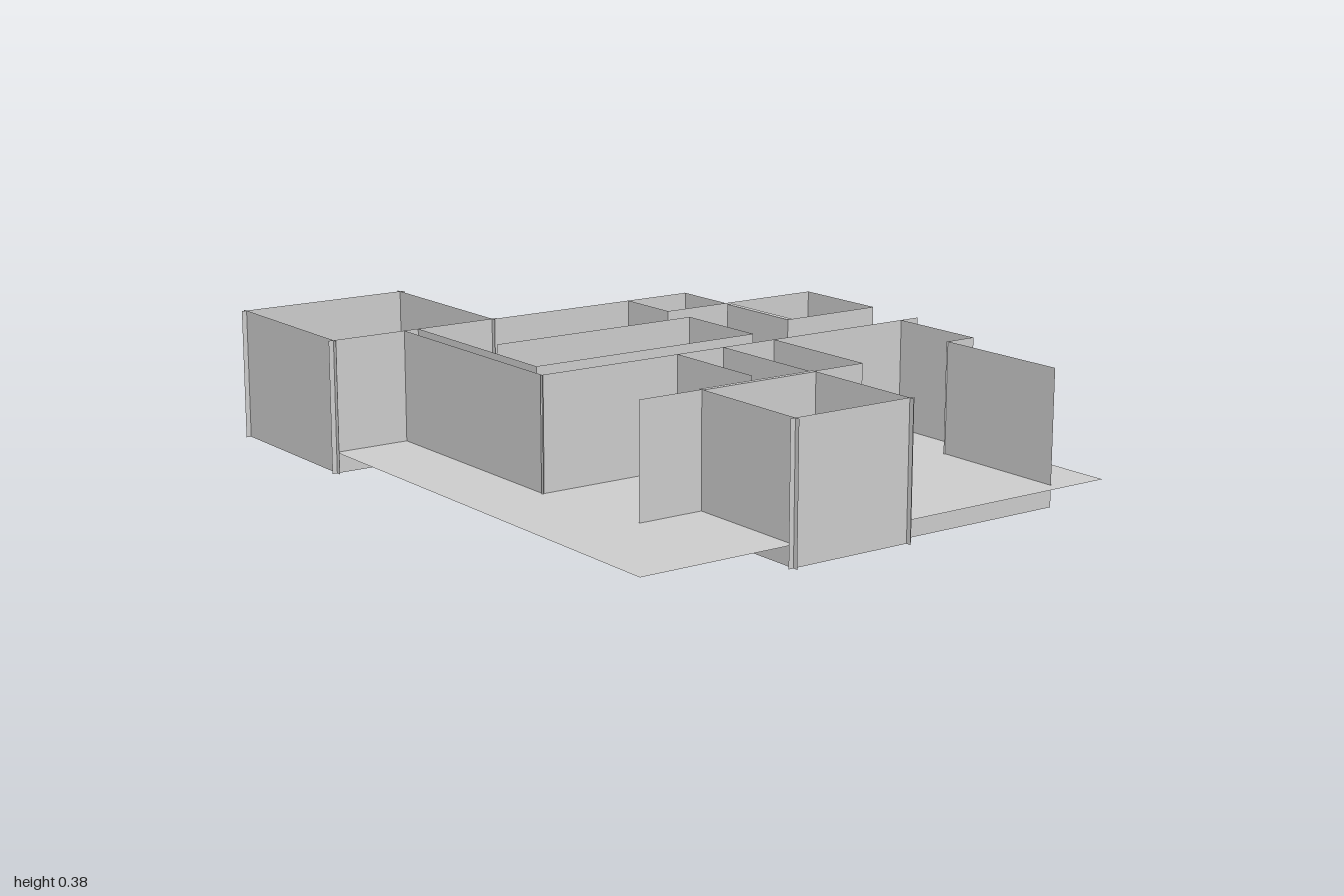
import * as THREE from 'three';

const WALL_TOP = 0.378;
const FLOOR_Y = 0.06;
const OVERLAP = 0.015; // walls run slightly past their corners

export function createModel() {
  const model = new THREE.Group();
  model.name = 'floorPlan';
  const material = new THREE.MeshStandardMaterial({ color: 0xcccccc, side: THREE.DoubleSide });

  const add = (name, geometry, x, y, z) => {
    const mesh = new THREE.Mesh(geometry, material);
    mesh.name = name;
    mesh.position.set(x, y, z);
    model.add(mesh);
    return mesh;
  };

  // Thin wall running along x at a fixed z
  const wallX = (name, z, x0, x1, height = WALL_TOP) =>
    add(name, new THREE.PlaneGeometry(x1 - x0, height), (x0 + x1) / 2, height / 2, z);

  // Thin wall running along z at a fixed x
  const wallZ = (name, x, z0, z1, height = WALL_TOP) =>
    add(name, new THREE.PlaneGeometry(z1 - z0, height).rotateY(Math.PI / 2), x, height / 2, (z0 + z1) / 2);

  // Rectangular room with corners that cross
  const room = (name, x0, x1, z0, z1) => {
    for (const z of [z0, z1]) wallX(name + 'Wall', z, x0 - OVERLAP, x1 + OVERLAP);
    for (const x of [x0, x1]) wallZ(name + 'Wall', x, z0 - OVERLAP, z1 + OVERLAP);
  };

  // Floor sheet
  add('floor', new THREE.PlaneGeometry(1.515, 1.97).rotateX(-Math.PI / 2), 0.0075, FLOOR_Y, 0);

  // Back corner room
  room('backRoom', -0.75, -0.235, -0.985, -0.465);

  // Front room: three thin walls and a thick one behind
  wallX('frontRoomWall', 0.985, -0.305, 0.09);
  for (const x of [-0.29, 0.075]) wallZ('frontRoomWall', x, 0.6, 1);
  add('thickFrontRoomWall', new THREE.BoxGeometry(0.365, WALL_TOP, 0.015), -0.107, WALL_TOP / 2, 0.61);

  // Side room: outer walls and a thick inner one
  wallZ('sideRoomWall', 0.765, -0.26, 0.04);
  wallX('sideRoomWall', 0.04, 0.45, 0.765);
  wallX('sideRoomWall', -0.26, 0.24, 0.765);
  add('thickSideRoomWall', new THREE.BoxGeometry(0.018, WALL_TOP, 0.285), 0.452, WALL_TOP / 2, -0.1);

  // Central hall
  wallX('hallBackWall', -0.46, -0.235, 0.45);
  wallZ('hallOuterWall', -0.525, -0.465, 0.24);
  wallZ('hallInnerWall', -0.48, -0.465, 0.14);
  wallX('hallFrontWall', 0.14, -0.48, 0.24);
  wallX('hallDivider', -0.155, -0.415, 0.24);
  wallZ('hallSideWall', 0.24, -0.155, 0.14);
  wallZ('hallBackSideWall', 0.45, -0.465, -0.26);
  wallZ('hallBackDivider', 0.24, -0.46, -0.26);

  // Corridor between the hall and the front rooms
  wallX('corridorWall', 0.235, -0.53, 0.765);
  wallX('entryWall', 0.61, -0.485, -0.29);
  wallZ('entryDivider', -0.09, 0.235, 0.56);

  // Small room beside the front room
  wallX('smallRoomWall', 0.61, 0.075, 0.24);
  for (const x of [0.065, 0.24]) wallZ('smallRoomWall', x, 0.235, 0.61);

  // Stepped walls of the open front area, closed by a low sill
  wallZ('steppedWall', 0.61, 0.535, 0.95);
  wallX('steppedWall', 0.535, 0.605, 0.705);
  wallZ('steppedWall', 0.703, 0.235, 0.535);
  wallX('frontSill', 0.95, 0.075, 0.61, FLOOR_Y);

  return model;
}
